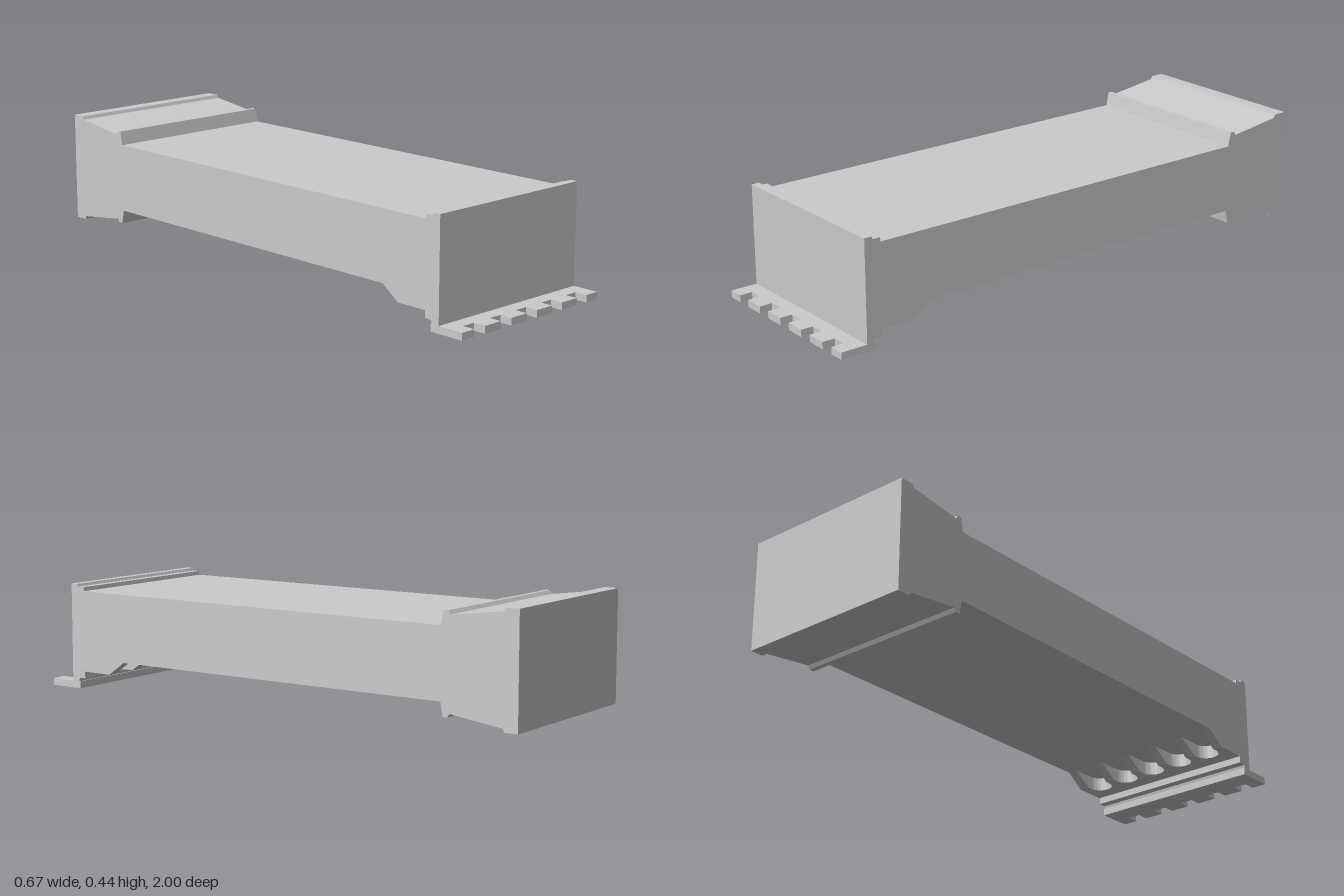
import * as THREE from 'three';
import { toCreasedNormals } from 'three/addons/utils/BufferGeometryUtils.js';

const HALF = 0.335;
const SLOTS = [-2, -1, 0, 1, 2].map((i) => i * 0.1265);
const material = new THREE.MeshStandardMaterial({ color: 0xcccccc });

function part(name, geometry) {
  const mesh = new THREE.Mesh(toCreasedNormals(geometry, 0.6), material);
  mesh.name = name;
  return mesh;
}

// Plan outline (x, z) extruded downwards from the given top height
function slab(shape, top, thickness) {
  return new THREE.ExtrudeGeometry(shape, { depth: thickness, bevelEnabled: false, curveSegments: 16 })
    .rotateX(Math.PI / 2)
    .translate(0, top, 0);
}

// Side profile (z, y) extruded across the full width
function createBody() {
  const profile = [
    [0.9, 0.025], [0.9, 0.39], [0.872, 0.39], [0.868, 0.38], [0.84, 0.38], [0.838, 0.365],
    // flared rear end, upper side
    [-0.71, 0.365], [-0.72, 0.415], [-0.737, 0.415], [-0.745, 0.402],
    [-0.945, 0.428], [-0.95, 0.44], [-1, 0.44],
    // flared rear end, lower side
    [-1, 0.04], [-0.95, 0.04], [-0.945, 0.052], [-0.745, 0.078],
    [-0.737, 0.065], [-0.72, 0.065], [-0.71, 0.115],
    // lower front lip
    [0.84, 0.115], [0.84, 0.04], [0.867, 0.038], [0.87, 0.025],
  ].map(([z, y]) => new THREE.Vector2(z, y));
  const geometry = new THREE.ExtrudeGeometry(new THREE.Shape(profile), { depth: HALF * 2, bevelEnabled: false })
    .rotateY(-Math.PI / 2)
    .translate(HALF, 0, 0);
  return part('body', geometry);
}

// Thin front ledge with square notches
function createLedge() {
  const w = 0.0255;
  const shape = new THREE.Shape();
  shape.moveTo(-HALF, 0.865);
  shape.lineTo(-HALF, 1);
  for (const x of SLOTS) {
    shape.lineTo(x - w, 1);
    shape.lineTo(x - w, 0.953);
    shape.lineTo(x + w, 0.953);
    shape.lineTo(x + w, 1);
  }
  shape.lineTo(HALF, 1);
  shape.lineTo(HALF, 0.865);
  return part('notchedLedge', slab(shape, 0.026, 0.026));
}

// Underside block with round-ended slots and a sloped rear face
function createAnchorBlock() {
  const r = 0.045, back = 0.65, centre = 0.74;
  const shape = new THREE.Shape();
  shape.moveTo(-HALF, 0.84);
  shape.lineTo(-HALF, back);
  for (const x of SLOTS) {
    shape.lineTo(x - r, back);
    shape.lineTo(x - r, centre);
    shape.absarc(x, centre, r, Math.PI, 0, true);
    shape.lineTo(x + r, back);
  }
  shape.lineTo(HALF, back);
  shape.lineTo(HALF, 0.84);
  const geometry = slab(shape, 0.115, 0.05);
  const p = geometry.attributes.position;
  for (let i = 0; i < p.count; i++) {
    if (p.getY(i) < 0.1) p.setZ(i, Math.max(p.getZ(i), 0.72));
  }
  return part('slottedAnchorBlock', geometry);
}

export function createModel() {
  const group = new THREE.Group();
  group.name = 'flaredBeam';
  group.add(createBody(), createLedge(), createAnchorBlock());
  return group;
}
